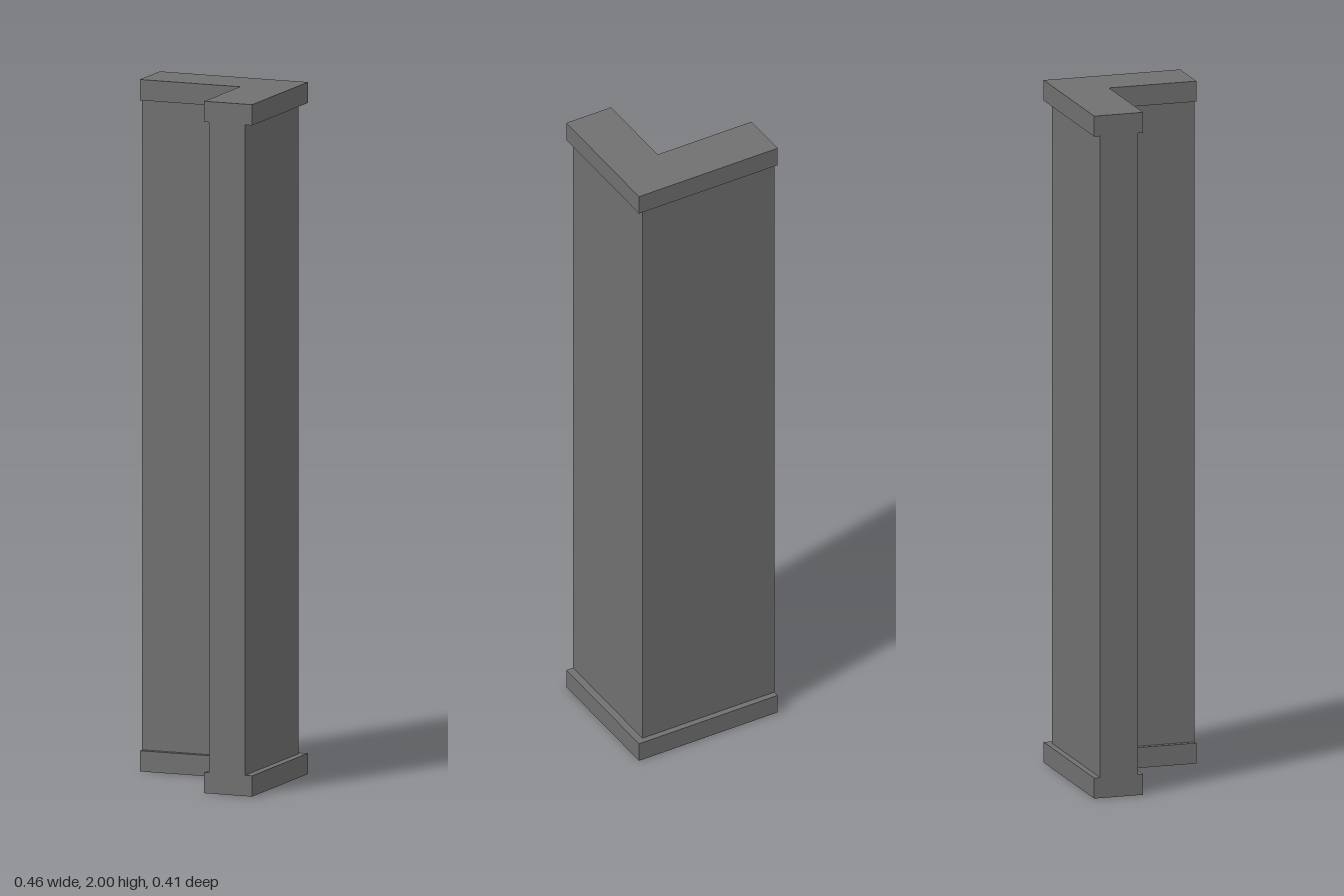
import * as THREE from 'three';

const END_X = -0.229, END_Z = 0.204;

// L-shaped slab; the two free ends stay flush, the long sides vary
function lSlab(name, outerX, innerX, outerZ, innerZ, y, height, material) {
  const outline = [
    [END_X, outerZ], [outerX, outerZ], [outerX, END_Z],
    [innerX, END_Z], [innerX, innerZ], [END_X, innerZ],
  ];
  const shape = new THREE.Shape(outline.map(([x, z]) => new THREE.Vector2(x, -z)));
  const geometry = new THREE.ExtrudeGeometry(shape, { depth: height, bevelEnabled: false });
  geometry.rotateX(-Math.PI / 2);
  const mesh = new THREE.Mesh(geometry, material);
  mesh.name = name;
  mesh.position.y = y;
  return mesh;
}

export function createModel() {
  const group = new THREE.Group();
  group.name = 'cornerPillar';
  const grey = new THREE.MeshStandardMaterial({ color: 0x707070 });
  grey.name = 'stone grey';

  const bandHeight = 0.06;

  // Recessed shaft between two projecting bands
  group.add(lSlab('shaft', 0.207, 0.096, -0.187, -0.074, bandHeight, 2 - 2 * bandHeight, grey));
  for (const [name, y] of [['baseBand', 0], ['topBand', 2 - bandHeight]]) {
    group.add(lSlab(name, 0.229, 0.081, -0.205, -0.058, y, bandHeight, grey));
  }
  return group;
}
